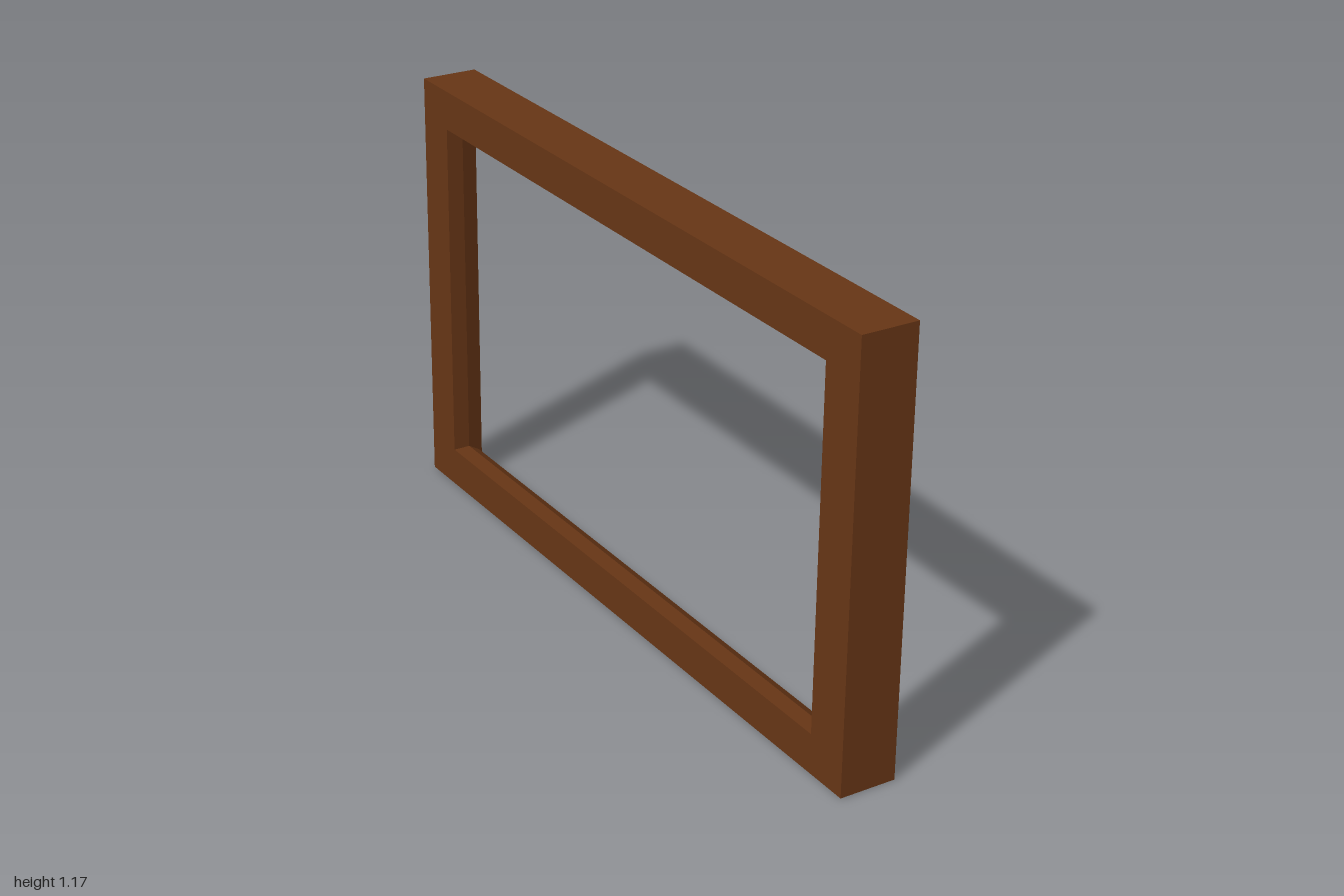
import * as THREE from 'three';

const HALF_Y = 0.583, HALF_Z = 1;      // outer half sizes of the frame
const INSET_Y = 0.107, INSET_Z = 0.125; // rail widths

// Moulding section: [share of the rail width from the outer edge, depth x]
const PROFILE = [
  [0, -0.077], [0, 0.077], [0.52, 0.033], [1, -0.03], [1, -0.077],
];

// Corners as [y sign, z sign], counter-clockwise seen from +x
const CORNERS = [[-1, 1], [-1, -1], [1, -1], [1, 1]];

function profilePoint([t, x], [sy, sz]) {
  return [x, sy * (HALF_Y - t * INSET_Y), sz * (HALF_Z - t * INSET_Z)];
}

// One mitred rail, lofted between two neighbouring corners
function railGeometry(from, to) {
  const positions = [];
  PROFILE.forEach((p, j) => {
    const q = PROFILE[(j + 1) % PROFILE.length];
    const a = profilePoint(p, from), b = profilePoint(p, to);
    const c = profilePoint(q, to), d = profilePoint(q, from);
    positions.push(...a, ...b, ...c, ...a, ...c, ...d);
  });
  const geometry = new THREE.BufferGeometry();
  geometry.setAttribute('position', new THREE.Float32BufferAttribute(positions, 3));
  geometry.computeVertexNormals();
  return geometry;
}

export function createModel() {
  const model = new THREE.Group();
  model.name = 'pictureFrame';
  const wood = new THREE.MeshStandardMaterial({ color: 0x663515 });

  const frame = new THREE.Group();
  frame.name = 'frame';
  ['bottomRail', 'backStile', 'topRail', 'frontStile'].forEach((name, k) => {
    const rail = new THREE.Mesh(railGeometry(CORNERS[k], CORNERS[(k + 1) % 4]), wood);
    rail.name = name;
    frame.add(rail);
  });

  // The frame leans very slightly towards +x
  frame.rotation.z = -0.009;
  frame.position.y = HALF_Y + 0.0007;
  model.add(frame);
  return model;
}
